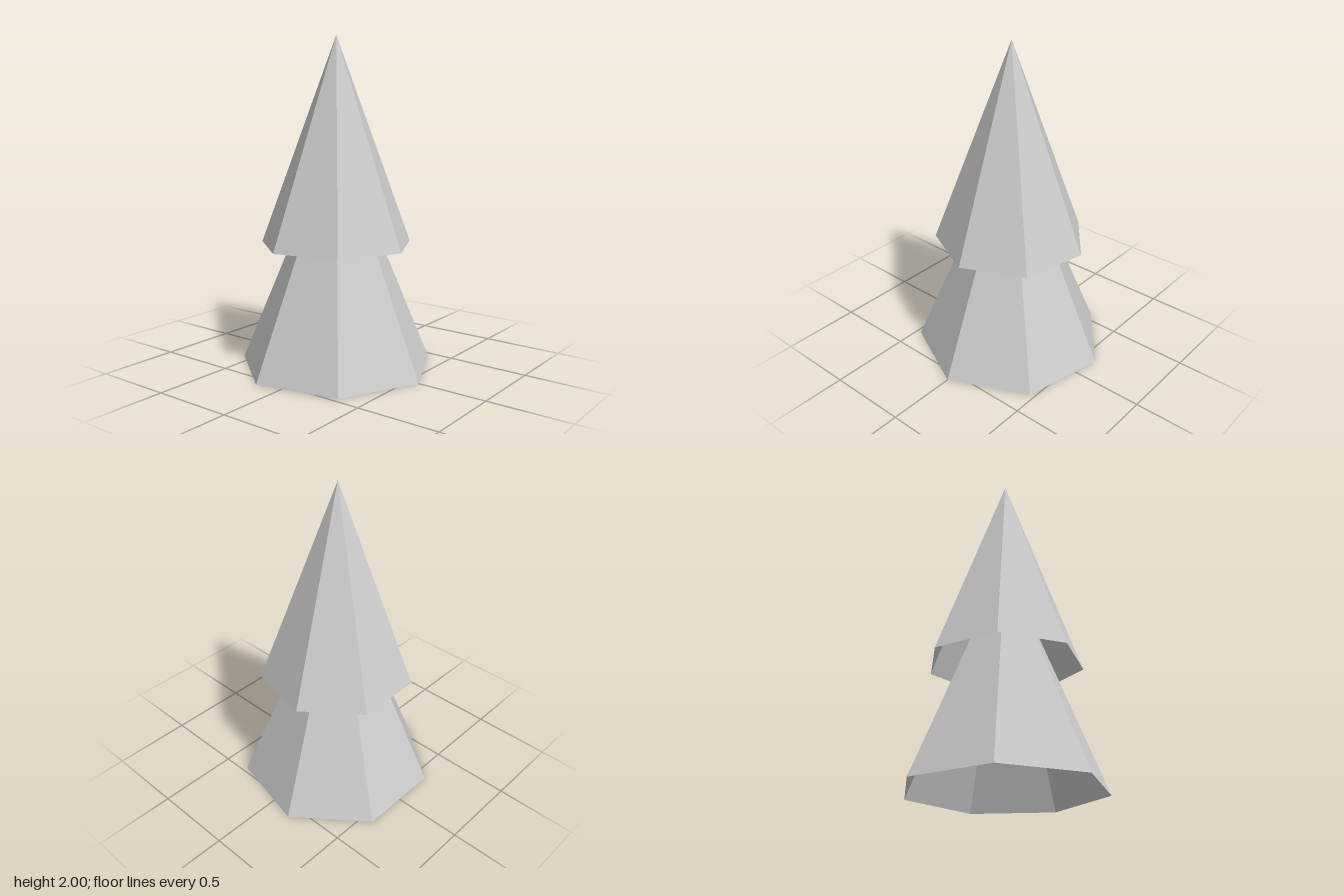
import * as THREE from 'three';

const SIDES = 7;
const TRUNK_AXIS_X = -0.03; // a seven-sided outline is off-centre, so shift it to centre the bounds

export function createModel() {
  const model = new THREE.Group();
  model.name = 'tree';

  const material = new THREE.MeshStandardMaterial({
    color: 0xcccccc,
    flatShading: true,
    side: THREE.DoubleSide,
  });

  // Hollow foliage cone, open underneath, with one corner pointing to +x
  function addTier(name, radius, bottom, top) {
    const height = top - bottom;
    const geometry = new THREE.ConeGeometry(radius, height, SIDES, 1, true);
    geometry.rotateY(Math.PI / 2);
    const tier = new THREE.Mesh(geometry, material);
    tier.name = name;
    tier.position.set(TRUNK_AXIS_X, bottom + height / 2, 0);
    model.add(tier);
  }

  // The lower tier's tip is tucked inside the upper one
  addTier('lowerFoliage', 0.6, 0, 1.43);
  addTier('upperFoliage', 0.47, 0.75, 2);

  return model;
}
